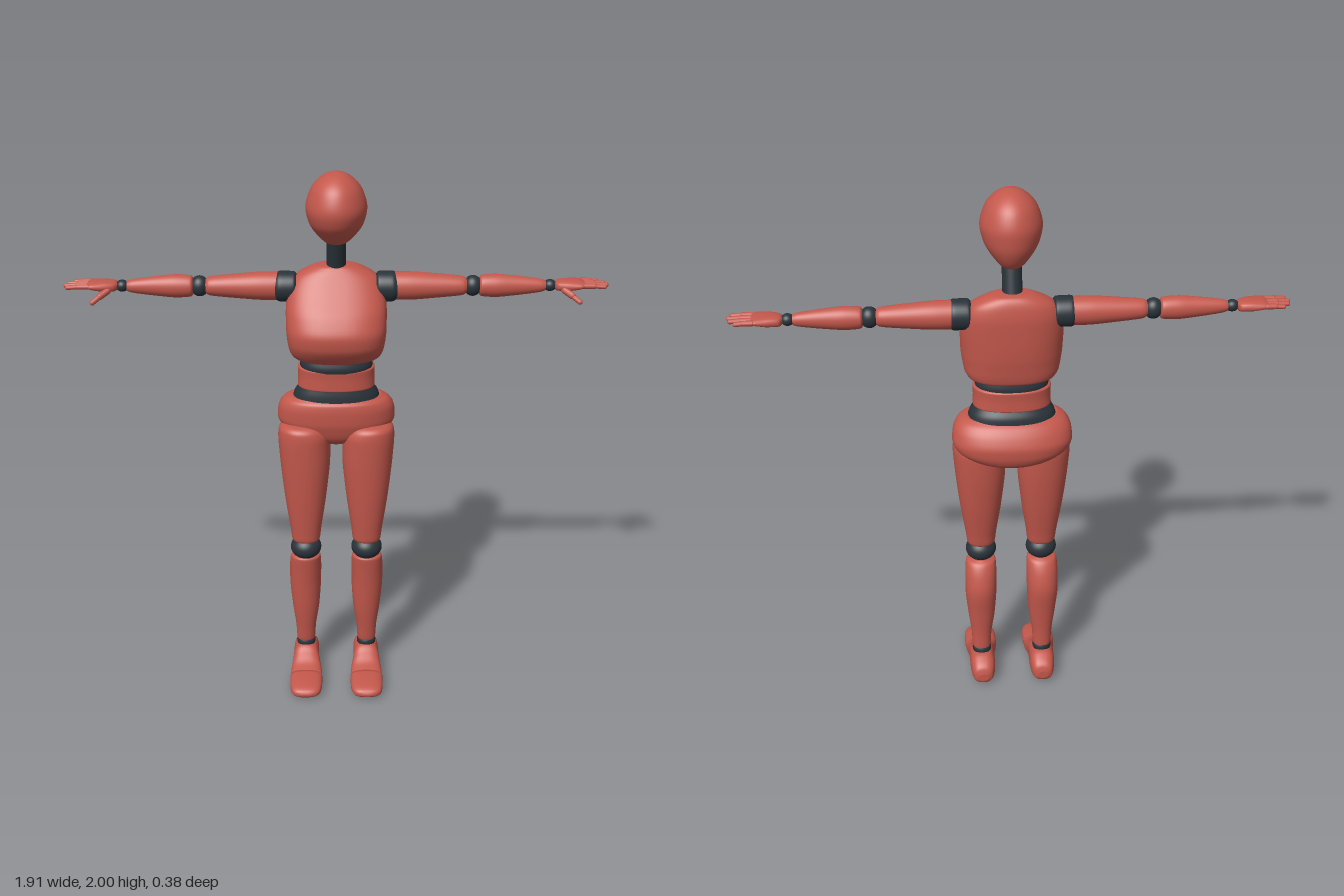
import * as THREE from 'three';

// Monotone cubic interpolation of one column of the section table
function ease(rows, col, u) {
  const n = rows.length - 1, i = Math.min(Math.floor(u), n - 1), f = u - i;
  const d = k => rows[k + 1][col] - rows[k][col];
  const slope = k => {
    if (k === 0) return d(0);
    if (k === n) return d(n - 1);
    const p = d(k - 1), q = d(k);
    return p * q <= 0 ? 0 : (2 * p * q) / (p + q);
  };
  const f2 = f * f, f3 = f2 * f;
  return rows[i][col] * (2 * f3 - 3 * f2 + 1) + rows[i + 1][col] * (3 * f2 - 2 * f3)
    + slope(i) * (f3 - 2 * f2 + f) + slope(i + 1) * (f3 - f2);
}

// Capped loft. Rows are [t, a0, a1, b0, b1] with t rising along the axis;
// (a, b) is (y, z) for axis x, (z, x) for axis y and (x, y) for axis z.
function loft(axis, rows, power = 2, seg = 36, sub = 5) {
  const pos = [], idx = [];
  const put = (t, a, b) => pos.push(...(axis === 'x' ? [t, a, b] : axis === 'y' ? [b, t, a] : [a, b, t]));
  const rings = (rows.length - 1) * sub;
  const ring = u => {
    const [t, a0, a1, b0, b1] = [0, 1, 2, 3, 4].map(c => ease(rows, c, u));
    for (let j = 0; j < seg; j++) {
      const w = (j / seg) * Math.PI * 2, c = Math.cos(w), s = Math.sin(w);
      const e = v => Math.sign(v) * Math.pow(Math.abs(v), 2 / power);
      put(t, (a0 + a1) / 2 + e(c) * (a1 - a0) / 2, (b0 + b1) / 2 + e(s) * (b1 - b0) / 2);
    }
    return [t, (a0 + a1) / 2, (b0 + b1) / 2];
  };
  for (let i = 0; i <= rings; i++) ring(i / sub);
  for (let i = 0; i < rings; i++) {
    for (let j = 0; j < seg; j++) {
      const k = (j + 1) % seg, p = i * seg, q = p + seg;
      idx.push(p + j, p + k, q + k, p + j, q + k, q + j);
    }
  }
  // Flat caps with their own vertices
  for (const end of [0, 1]) {
    const base = pos.length / 3;
    const mid = ring(end * (rows.length - 1));
    put(...mid);
    for (let j = 0; j < seg; j++) {
      const k = (j + 1) % seg;
      if (end) idx.push(base + j, base + k, base + seg);
      else idx.push(base + k, base + j, base + seg);
    }
  }
  const g = new THREE.BufferGeometry();
  g.setAttribute('position', new THREE.Float32BufferAttribute(pos, 3));
  g.setIndex(idx);
  g.computeVertexNormals();
  return g;
}

// Round section rows along x: [x, radiusY, radiusZ]
const round = (cy, cz, rows) => loft('x', rows.map(([x, ry, rz]) => [x, cy - ry, cy + ry, cz - rz, cz + rz]));

function ellipsoid(x, y, z, rx, ry, rz) {
  return new THREE.SphereGeometry(1, 32, 20).scale(rx, ry, rz).translate(x, y, z);
}

// Capsule or cylinder laid between two points
function rod(a, b, r, capped = true) {
  const p = new THREE.Vector3(...a), q = new THREE.Vector3(...b), len = p.distanceTo(q);
  const g = capped ? new THREE.CapsuleGeometry(r, len - r, 5, 12) : new THREE.CylinderGeometry(r, r, len, 28);
  const turn = new THREE.Quaternion().setFromUnitVectors(new THREE.Vector3(0, 1, 0), q.clone().sub(p).normalize());
  const mid = p.add(q).multiplyScalar(0.5);
  return g.applyQuaternion(turn).translate(mid.x, mid.y, mid.z);
}

function mirrored(geo) {
  const g = geo.clone().scale(-1, 1, 1), a = g.index.array;
  for (let i = 0; i < a.length; i += 3) [a[i], a[i + 1]] = [a[i + 1], a[i]];
  return g;
}

export function createModel() {
  const model = new THREE.Group();
  model.name = 'jointedFigure';
  const red = new THREE.MeshStandardMaterial({ color: 0xc4584c });
  red.name = 'brick red shell';
  const dark = new THREE.MeshStandardMaterial({ color: 0x2a333a });
  dark.name = 'dark slate joint';

  const add = (name, geo, mat) => {
    const m = new THREE.Mesh(geo, mat);
    m.name = name;
    model.add(m);
  };
  const pair = (name, geo, mat) => {
    add(name + 'Left', geo, mat);
    add(name + 'Right', mirrored(geo), mat);
  };
  // Symmetric body loft from [y, back, front, halfWidth]
  const body = (name, mat, power, rows) =>
    add(name, loft('y', rows.map(([y, b, f, h]) => [y, b, f, -h, h]), power, 48), mat);

  // Head and neck
  body('head', red, 2, [
    [1.74, -0.065, -0.03, 0.014], [1.748, -0.085, -0.005, 0.034], [1.78, -0.112, 0.05, 0.065],
    [1.83, -0.131, 0.1, 0.095], [1.88, -0.135, 0.114, 0.105], [1.94, -0.116, 0.097, 0.088],
    [1.975, -0.083, 0.065, 0.06], [1.993, -0.048, 0.03, 0.031], [2, -0.012, -0.008, 0.002]]);
  add('neck', rod([0, 1.78, -0.032], [0, 1.64, -0.072], 0.034, false), dark);

  // Torso
  body('chest', red, 2.5, [
    [1.328, -0.115, 0.045, 0.125], [1.336, -0.126, 0.058, 0.148], [1.36, -0.133, 0.08, 0.165],
    [1.4, -0.139, 0.103, 0.173], [1.44, -0.144, 0.108, 0.177], [1.5, -0.147, 0.082, 0.178],
    [1.57, -0.148, 0.03, 0.17], [1.62, -0.142, -0.005, 0.145], [1.648, -0.132, -0.024, 0.1],
    [1.66, -0.12, -0.036, 0.065], [1.664, -0.105, -0.055, 0.03]]);
  body('upperWaistJoint', dark, 2.3, [[1.28, -0.117, 0.048, 0.125], [1.308, -0.12, 0.054, 0.13], [1.335, -0.115, 0.048, 0.122]]);
  body('abdomen', red, 2.3, [
    [1.222, -0.115, 0.042, 0.13], [1.229, -0.123, 0.05, 0.139], [1.265, -0.122, 0.05, 0.137],
    [1.297, -0.124, 0.052, 0.138], [1.304, -0.117, 0.045, 0.13]]);
  body('lowerWaistJoint', dark, 2.3, [[1.17, -0.138, 0.05, 0.16], [1.2, -0.133, 0.048, 0.15], [1.228, -0.117, 0.043, 0.13]]);
  body('pelvis', red, 2.3, [
    [1, -0.11, 0, 0.035], [1.012, -0.143, 0.02, 0.09], [1.035, -0.172, 0.04, 0.16],
    [1.07, -0.185, 0.053, 0.205], [1.1, -0.187, 0.06, 0.215], [1.14, -0.172, 0.062, 0.21],
    [1.172, -0.148, 0.058, 0.19], [1.185, -0.13, 0.046, 0.165]]);

  // Arms
  pair('shoulderJoint', round(1.583, -0.066, [[0.14, 0.045, 0.045], [0.15, 0.053, 0.052], [0.195, 0.054, 0.053], [0.215, 0.045, 0.045]]), dark);
  pair('upperArm', round(1.584, -0.068, [
    [0.178, 0.042, 0.036], [0.186, 0.05, 0.047], [0.25, 0.05, 0.048], [0.35, 0.043, 0.042], [0.445, 0.033, 0.033], [0.458, 0.026, 0.026]]), red);
  pair('elbowJoint', ellipsoid(0.48, 1.584, -0.068, 0.033, 0.037, 0.033), dark);
  pair('forearm', round(1.584, -0.068, [
    [0.503, 0.03, 0.028], [0.51, 0.037, 0.035], [0.56, 0.041, 0.037], [0.63, 0.035, 0.031], [0.72, 0.023, 0.022], [0.735, 0.018, 0.018]]), red);
  pair('wristJoint', ellipsoid(0.752, 1.585, -0.068, 0.023, 0.021, 0.022), dark);

  // Hands: palm, four two-part fingers, thumb reaching forward and down
  pair('palm', loft('x', [
    [0.768, 1.575, 1.597, -0.085, -0.05], [0.778, 1.568, 1.602, -0.1, -0.038], [0.815, 1.569, 1.606, -0.108, -0.026],
    [0.855, 1.577, 1.604, -0.111, -0.021], [0.872, 1.582, 1.599, -0.106, -0.027]], 2.6, 24), red);
  [[-0.102, 0.925], [-0.08, 0.945], [-0.057, 0.952], [-0.034, 0.942]].forEach(([z, tip], i) => {
    const mid = (0.86 + tip) / 2, y = 1.591;
    pair('fingerBase' + (i + 1), rod([0.86, y, z], [mid + 0.006, y, z], 0.0095), red);
    pair('fingerTip' + (i + 1), rod([mid, y, z], [tip, y - 0.002, z + (z + 0.068) * 0.06], 0.008), red);
  });
  pair('thumbBase', rod([0.795, 1.578, -0.04], [0.828, 1.56, -0.012], 0.012), red);
  pair('thumbTip', rod([0.822, 1.563, -0.016], [0.852, 1.543, 0.005], 0.009), red);

  // Legs
  pair('thigh', loft('y', [
    [0.6, -0.035, 0.025, 0.08, 0.15], [0.61, -0.053, 0.043, 0.063, 0.166], [0.66, -0.063, 0.05, 0.056, 0.173],
    [0.8, -0.09, 0.064, 0.036, 0.193], [0.95, -0.11, 0.074, 0.022, 0.208], [1.03, -0.115, 0.077, 0.022, 0.213],
    [1.065, -0.108, 0.074, 0.035, 0.209], [1.083, -0.085, 0.058, 0.06, 0.19], [1.089, -0.05, 0.03, 0.09, 0.15]], 2.2), red);
  pair('kneeJoint', ellipsoid(0.115, 0.573, -0.004, 0.058, 0.047, 0.056), dark);
  pair('shin', loft('y', [
    [0.125, -0.07, -0.028, 0.093, 0.145], [0.135, -0.08, -0.019, 0.085, 0.154], [0.2, -0.082, -0.008, 0.08, 0.158],
    [0.3, -0.092, 0.008, 0.066, 0.17], [0.41, -0.105, 0.02, 0.059, 0.179], [0.48, -0.092, 0.029, 0.058, 0.178],
    [0.53, -0.066, 0.036, 0.061, 0.172], [0.54, -0.05, 0.025, 0.08, 0.15]], 2.1), red);
  pair('ankleJoint', ellipsoid(0.119, 0.122, -0.05, 0.037, 0.03, 0.034), dark);

  // Feet
  pair('foot', loft('z', [
    [-0.15, 0.1, 0.136, 0.028, 0.06], [-0.142, 0.083, 0.153, 0.014, 0.082], [-0.115, 0.072, 0.163, 0.006, 0.104],
    [-0.08, 0.069, 0.167, 0.005, 0.117], [-0.025, 0.069, 0.168, 0.006, 0.117], [0.01, 0.064, 0.172, 0.006, 0.095],
    [0.045, 0.058, 0.177, 0.005, 0.071], [0.075, 0.056, 0.18, 0.005, 0.06]], 2.6), red);
  pair('toes', loft('z', [
    [0.07, 0.058, 0.178, 0.006, 0.053], [0.082, 0.055, 0.181, 0.003, 0.056], [0.13, 0.056, 0.18, 0, 0.052],
    [0.17, 0.064, 0.173, 0.003, 0.045], [0.186, 0.08, 0.157, 0.01, 0.037], [0.192, 0.1, 0.137, 0.018, 0.028]], 2.6), red);

  return model;
}
